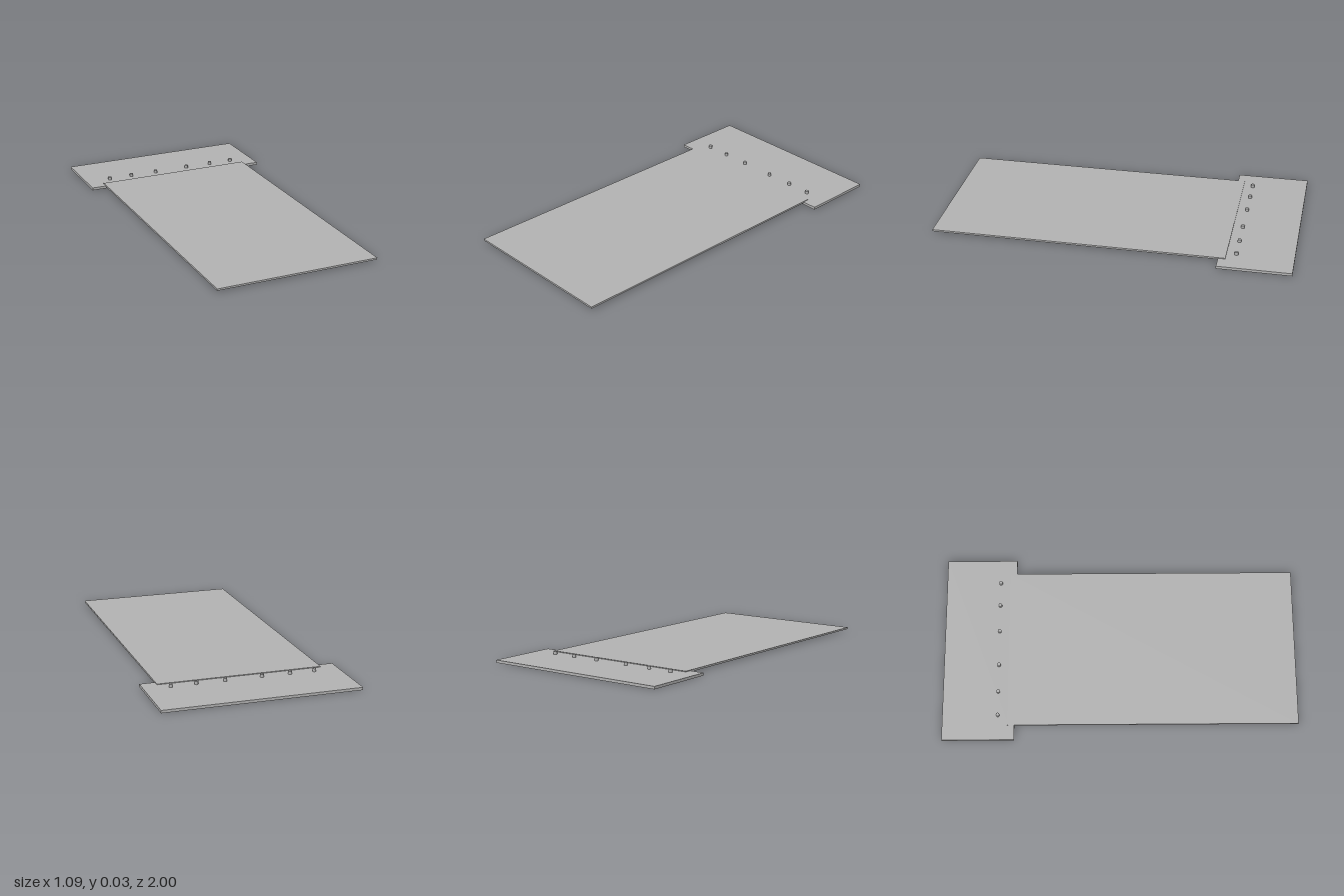
import * as THREE from 'three';

export function createModel() {
  const model = new THREE.Group();
  const grey = new THREE.MeshStandardMaterial({ color: 0xb3b3b3 });
  grey.name = 'plain grey';

  // Box given by its minimum and maximum corners
  function plate(name, [x0, y0, z0], [x1, y1, z1]) {
    const mesh = new THREE.Mesh(new THREE.BoxGeometry(x1 - x0, y1 - y0, z1 - z0), grey);
    mesh.position.set((x0 + x1) / 2, (y0 + y1) / 2, (z0 + z1) / 2);
    mesh.name = name;
    model.add(mesh);
  }

  // Wide plate at the back, with the long plate let into its top
  plate('basePlate', [-0.543, 0, -1], [0.543, 0.015, -0.595]);
  plate('longPlate', [-0.459, 0.009, -0.635], [0.459, 0.019, 1]);

  // Row of small round pins on the wide plate
  const pins = new THREE.Group();
  pins.name = 'pins';
  const pinGeometry = new THREE.CylinderGeometry(0.01, 0.01, 0.018, 24);
  for (const x of [0.102, 0.261, 0.4]) {
    for (const side of [-1, 1]) {
      const pin = new THREE.Mesh(pinGeometry, grey);
      pin.name = side > 0 ? 'leftPin' : 'rightPin';
      pin.position.set(side * x, 0.023, -0.688);
      pins.add(pin);
    }
  }
  model.add(pins);
  return model;
}
